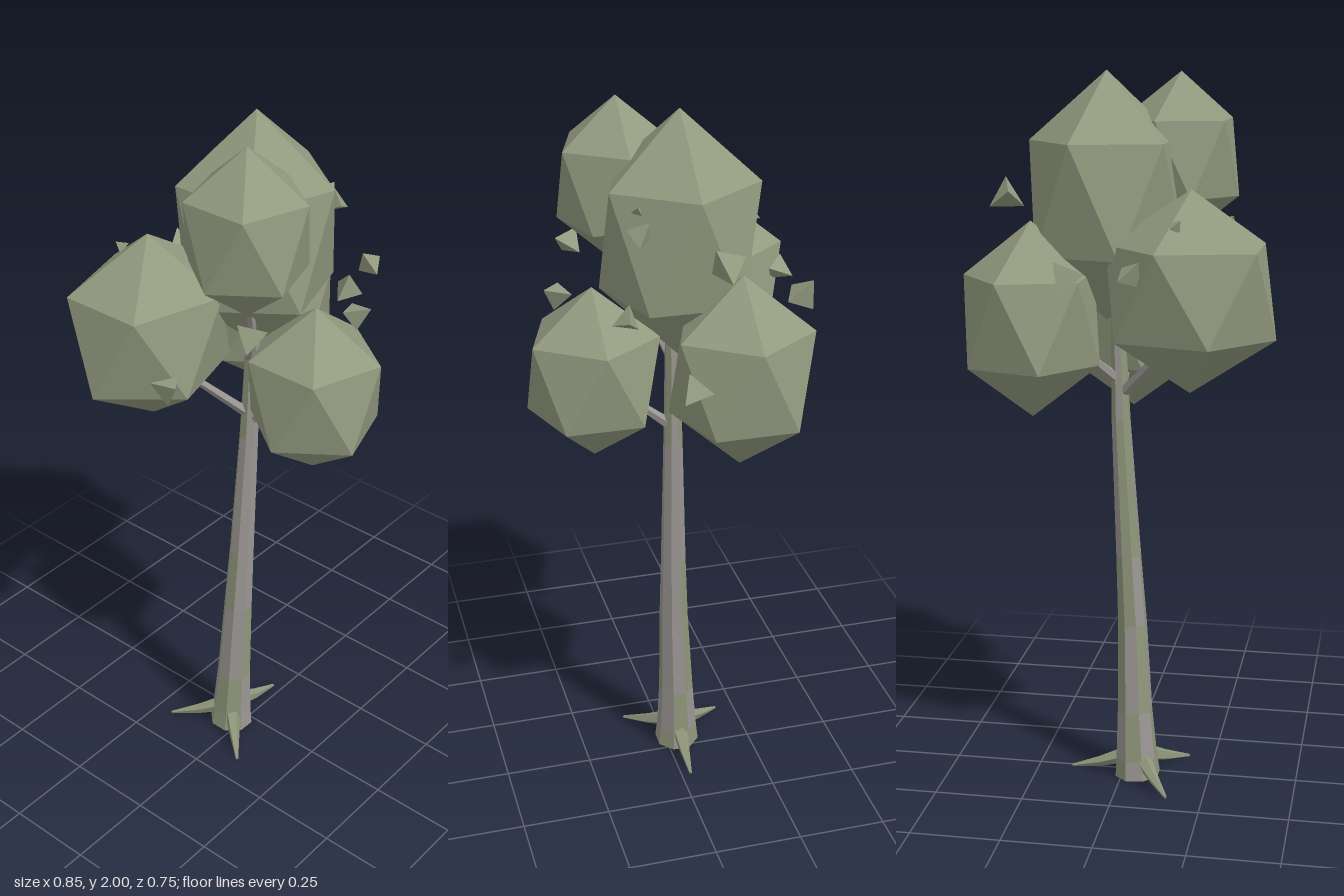
import * as THREE from 'three';
import { ConvexGeometry } from 'three/addons/geometries/ConvexGeometry.js';

const V = (x, y, z) => new THREE.Vector3(x, y, z);

export function createModel() {
  const tree = new THREE.Group();
  const flat = (name, color) => {
    const m = new THREE.MeshStandardMaterial({ color, flatShading: true });
    m.name = name;
    return m;
  };
  const leaf = flat('leafGreen', 0x929a7f);
  const bark = flat('barkGrey', 0x999592);
  const moss = flat('mossyBark', 0x8f967a);

  const add = (name, geometry, material) => {
    const mesh = new THREE.Mesh(geometry, material);
    mesh.name = name;
    tree.add(mesh);
    return mesh;
  };

  // Many-sided limb through [x, y, z, radius] stations; paint(side, row) picks material 0 or 1
  function limb(stations, sides, paint) {
    const rows = stations.length - 1;
    const pos = [];
    const groups = [];
    const ringPoint = (r, s) => {
      const [x, y, z, rad] = stations[r];
      const a = stations[Math.max(r - 1, 0)], b = stations[Math.min(r + 1, rows)];
      const dir = V(b[0] - a[0], b[1] - a[1], b[2] - a[2]).normalize();
      const q = new THREE.Quaternion().setFromUnitVectors(V(0, 1, 0), dir);
      const t = ((s % sides) + 0.5) / sides * Math.PI * 2;
      return V(Math.sin(t) * rad, 0, Math.cos(t) * rad).applyQuaternion(q).add(V(x, y, z));
    };
    const tri = (...pts) => pts.forEach((p) => pos.push(p.x, p.y, p.z));
    const paintLast = (count, m) => groups.push([pos.length / 3 - count, count, m]);
    for (let r = 0; r < rows; r++) {
      for (let s = 0; s < sides; s++) {
        const a = ringPoint(r, s), b = ringPoint(r, s + 1);
        const c = ringPoint(r + 1, s + 1), d = ringPoint(r + 1, s);
        tri(a, b, c, a, c, d);
        paintLast(6, paint(s, r));
      }
    }
    // End caps
    const first = V(...stations[0]), last = V(...stations[rows]);
    for (let s = 0; s < sides; s++) {
      tri(first, ringPoint(0, s + 1), ringPoint(0, s));
      tri(last, ringPoint(rows, s), ringPoint(rows, s + 1));
      paintLast(6, 0);
    }
    const g = new THREE.BufferGeometry();
    g.setAttribute('position', new THREE.Float32BufferAttribute(pos, 3));
    groups.forEach((e) => g.addGroup(...e));
    g.computeVertexNormals();
    return g;
  }

  // Leaning trunk with mossy patches, heaviest at the foot and the back
  const trunk = [
    [-0.045, 0.005, -0.035, 0.066], [-0.042, 0.06, -0.034, 0.06], [-0.036, 0.2, -0.03, 0.051],
    [-0.027, 0.46, -0.02, 0.042], [-0.015, 0.66, -0.015, 0.036], [0.008, 1.05, -0.007, 0.027],
    [0.02, 1.42, 0, 0.018],
  ];
  add('trunk', limb(trunk, 8, (s, r) => {
    const back = s >= 2 && s <= 5;
    return (s * 3 + r * 2) % 5 < (back ? 3 : 1) || (r === 0 && s % 2 === 0) ? 1 : 0;
  }), [bark, moss]);

  // Roots
  for (const [x, z] of [[-0.177, 0.1], [0.15, -0.025], [-0.15, -0.19]]) {
    const mix = (t, y, rad) => [-0.045 + (x + 0.045) * t, y, -0.035 + (z + 0.035) * t, rad];
    add('root', limb([mix(0.2, 0.06, 0.024), mix(0.55, 0.034, 0.016), mix(1, 0.01, 0.004)], 5, () => 0),
      [moss]);
  }

  // Branches reaching into the outer crowns
  const branches = [
    [1.12, -0.1, 1.24, -0.08, -0.2, 1.3, -0.16],
    [1.16, 0.08, 1.23, -0.06, 0.2, 1.29, -0.12],
    [1.1, 0.01, 1.17, 0.08, 0.01, 1.22, 0.2],
    [1.3, -0.06, 1.45, 0.06, -0.13, 1.68, 0.1],
  ];
  for (const [y, mx, my, mz, ex, ey, ez] of branches) {
    add('branch', limb([[0.01, y, -0.005, 0.016], [mx, my, mz, 0.012], [ex, ey, ez, 0.007]], 5, () => 0),
      [bark]);
  }

  // Twenty-sided crowns: centre, then radii
  const crowns = [
    ['topCrown', 0.045, 1.665, -0.012, 0.238, 0.335, 0.236],
    ['frontRightTopCrown', -0.138, 1.765, 0.11, 0.18, 0.23, 0.18],
    ['backRightCrown', -0.205, 1.435, -0.165, 0.253, 0.268, 0.222],
    ['backLeftCrown', 0.23, 1.345, -0.13, 0.208, 0.266, 0.212],
    ['frontCrown', 0.01, 1.288, 0.216, 0.2, 0.244, 0.202],
  ];
  const h = Math.sqrt(0.2);
  for (const [name, x, y, z, rx, ry, rz] of crowns) {
    const pts = [V(0, 1, 0), V(0, -1, 0)];
    for (let i = 0; i < 10; i++) {
      const a = i * Math.PI / 5;
      pts.push(V(2 * h * Math.cos(a), i % 2 ? -h : h, 2 * h * Math.sin(a)));
    }
    pts.forEach((p) => p.multiply(V(rx, ry, rz)));
    add(name, new ConvexGeometry(pts), leaf).position.set(x, y, z);
  }

  // Loose four-sided leaves around the crowns: position, size
  const leaves = [
    [-0.07, 1.5, -0.325, 0.045], [0.1, 1.49, -0.335, 0.055], [-0.18, 1.62, -0.285, 0.022],
    [-0.345, 1.38, 0.02, 0.048], [0.38, 1.375, 0.04, 0.05], [0.31, 1.67, -0.06, 0.058],
    [0.2, 1.73, 0.128, 0.042], [0.17, 1.785, 0.13, 0.018], [0.28, 1.54, 0.185, 0.042],
    [-0.255, 1.565, 0.22, 0.048], [0.045, 1.535, 0.315, 0.045],
  ];
  leaves.forEach(([x, y, z, r], i) => {
    const m = add('looseLeaf', new THREE.TetrahedronGeometry(r), leaf);
    m.position.set(x, y, z);
    m.rotation.set(i * 1.7 + 0.4, i * 2.3, i * 0.9);
  });

  return tree;
}
